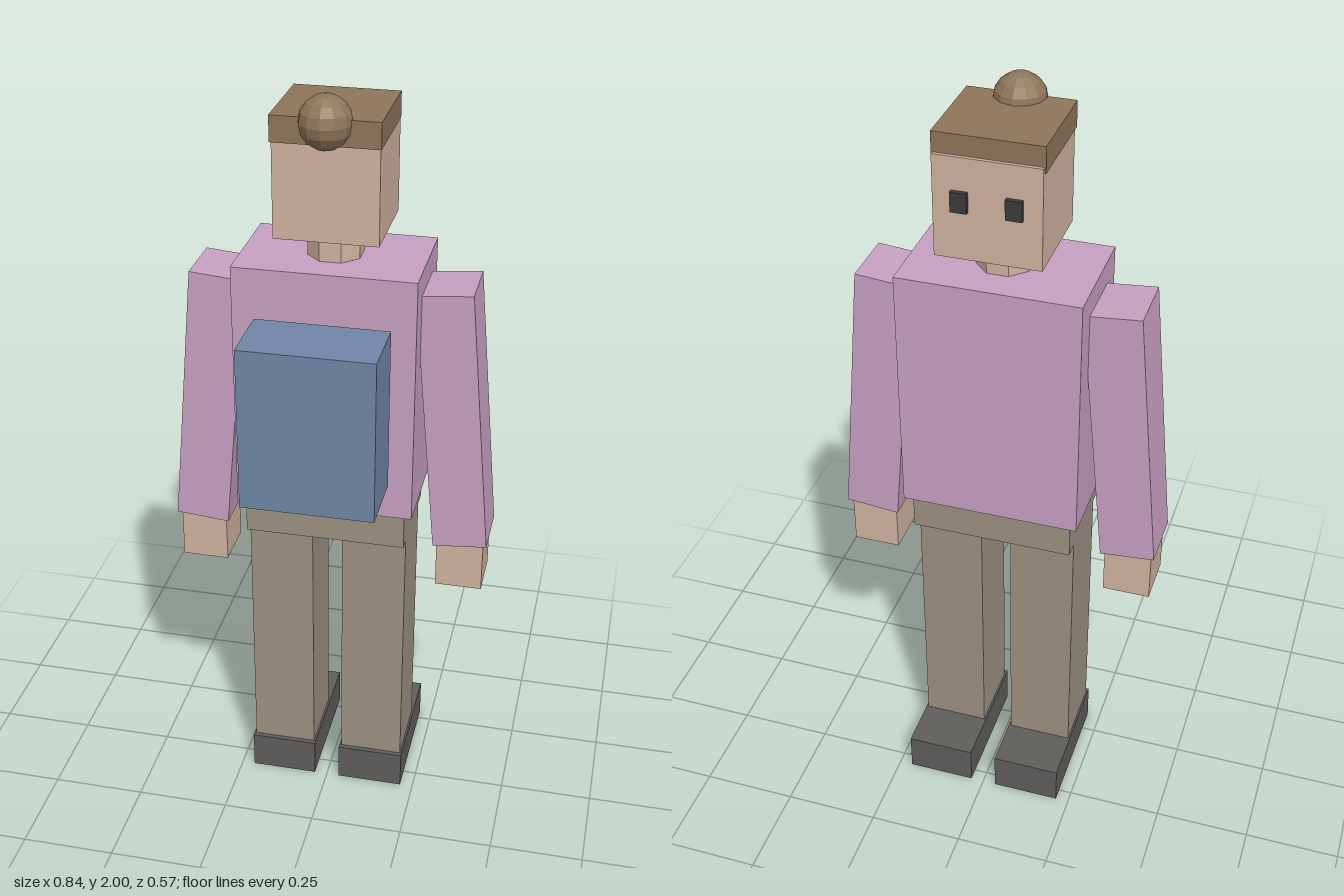
import * as THREE from 'three';

const mat = (color) => new THREE.MeshStandardMaterial({ color, flatShading: true });

export function createModel() {
  const model = new THREE.Group();
  const shirt = mat(0xc8a0c2), skin = mat(0xd0b4a0), hairMat = mat(0x8f765a);
  const trousers = mat(0x9c9282), shoeMat = mat(0x605e5b), eyeMat = mat(0x3c3c3c), bag = mat(0x7087a7);

  const add = (name, geometry, material, x, y, z) => {
    const mesh = new THREE.Mesh(geometry, material);
    mesh.name = name;
    mesh.position.set(x, y, z);
    model.add(mesh);
    return mesh;
  };
  // Box given by its centre x, width, and its y and z ranges
  const box = (name, material, x, w, y0, y1, z0, z1) =>
    add(name, new THREE.BoxGeometry(w, y1 - y0, z1 - z0), material, x, (y0 + y1) / 2, (z0 + z1) / 2);

  // Body
  box('torso', shirt, 0, 0.46, 0.915, 1.57, -0.205, 0.09);
  box('hips', trousers, 0, 0.42, 0.82, 0.94, -0.19, 0.08);
  box('backpack', bag, 0, 0.34, 1.015, 1.445, 0.103, 0.283);

  // Neck and head
  const neck = new THREE.CylinderGeometry(0.071, 0.071, 0.12, 8).rotateY(Math.PI / 8);
  add('neck', neck, skin, 0, 1.6, -0.056);
  box('head', skin, 0, 0.26, 1.64, 1.895, -0.192, 0.06);
  box('hair', hairMat, 0, 0.266, 1.88, 1.945, -0.183, 0.067);
  add('hairBun', new THREE.SphereGeometry(0.066, 12, 8), hairMat, 0, 1.934, 0.057);

  // Limbs and eyes, mirrored
  for (const [side, s] of [['left', 1], ['right', -1]]) {
    box(side + 'Eye', eyeMat, s * 0.065, 0.04, 1.763, 1.813, -0.204, -0.184);
    box(side + 'Leg', trousers, s * 0.125, 0.17, 0.09, 0.83, -0.148, 0.045);
    box(side + 'Shoe', shoeMat, s * 0.125, 0.18, 0, 0.105, -0.283, 0.058);
    box(side + 'Hand', skin, s * 0.348, 0.123, 0.675, 0.82, -0.124, 0.012);
    // Sleeves splay slightly outward
    const arm = add(side + 'Arm', new THREE.BoxGeometry(0.13, 0.708, 0.16), shirt, s * 0.317, 1.16, -0.057);
    arm.scale.x = 1.09;
    arm.rotation.z = s * 0.089;
  }
  return model;
}
